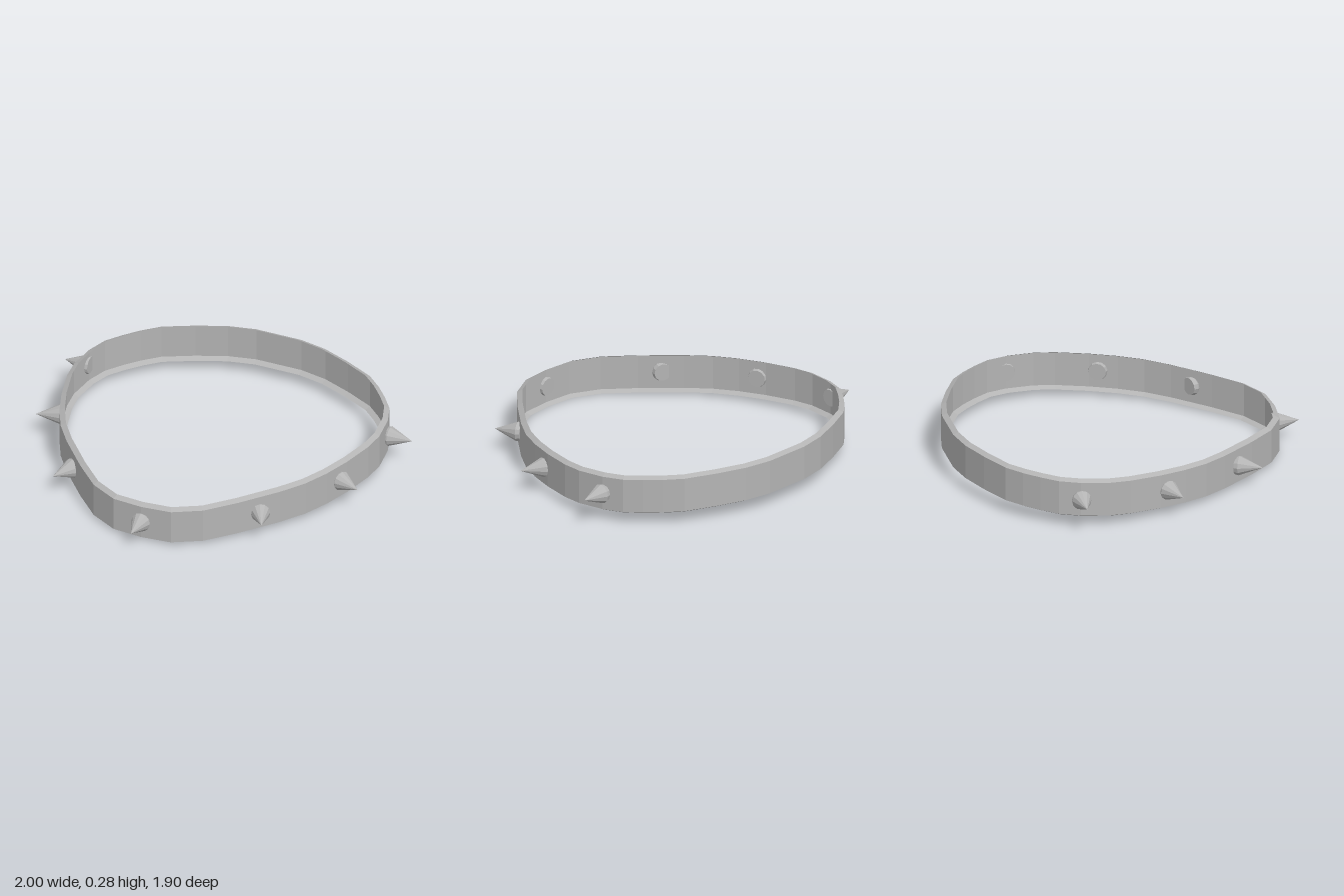
import * as THREE from 'three';

// Right half of the band outline [x, z], from back to front
const HALF = [
  [0.13, -0.948], [0.28, -0.918], [0.44, -0.855], [0.6, -0.777], [0.685, -0.702],
  [0.755, -0.625], [0.82, -0.54], [0.86, -0.43], [0.88, -0.277], [0.868, -0.162],
  [0.823, 0.009], [0.77, 0.153], [0.705, 0.282], [0.615, 0.405], [0.455, 0.587],
  [0.315, 0.726], [0.165, 0.806],
];
const FLANGE = 0.028;
const SPIKE_LENGTH = 0.148;
// The band rises gently towards the back
const lift = (z) => 0.037 * (0.795 - z);

// Thin channel: an outer wall with its top and bottom edges bent inward
function bandGeometry() {
  const mirrored = HALF.map(([x, z]) => [-x, z]).reverse();
  const outline = [...HALF, [0, 0.82], ...mirrored];
  const n = outline.length;
  const positions = [];
  const indices = [];
  outline.forEach(([x, z], i) => {
    // Inset each point along its normal for the flange edges
    const [ax, az] = outline[(i + n - 1) % n];
    const [bx, bz] = outline[(i + 1) % n];
    const len = Math.hypot(bx - ax, bz - az);
    const ix = x - ((bz - az) / len) * FLANGE;
    const iz = z + ((bx - ax) / len) * FLANGE;
    // Cross-section from inner bottom edge to inner top edge, open inside
    positions.push(
      ix, lift(iz), iz,
      x, 0.014 + lift(z), z,
      x, 0.2 + lift(z), z,
      ix, 0.214 + lift(iz), iz,
    );
    const j = (i + 1) % n;
    for (let k = 0; k < 3; k++) {
      const a = i * 4 + k, d = a + 1, b = j * 4 + k, c = b + 1;
      indices.push(a, d, c, a, c, b);
    }
  });
  const indexed = new THREE.BufferGeometry();
  indexed.setAttribute('position', new THREE.Float32BufferAttribute(positions, 3));
  indexed.setIndex(indices);
  const geometry = indexed.toNonIndexed();
  geometry.computeVertexNormals();
  return geometry;
}

export function createModel() {
  const model = new THREE.Group();
  model.name = 'spikedCollar';
  const metal = new THREE.MeshStandardMaterial({
    color: 0xb4b4b4, flatShading: true, side: THREE.DoubleSide,
  });
  metal.name = 'grey';

  const band = new THREE.Mesh(bandGeometry(), metal);
  band.name = 'band';
  model.add(band);

  // Pointed stud, slightly narrower where it passes through the band
  const profile = [[0, 0], [0.047, 0], [0.053, 0.022], [0, SPIKE_LENGTH]];
  const spikeGeometry = new THREE.LatheGeometry(
    profile.map(([r, y]) => new THREE.Vector2(r, y)), 12);

  const up = new THREE.Vector3(0, 1, 0);
  function addSpike(name, tipX, tipZ, dirX, dirZ) {
    const dir = new THREE.Vector3(dirX, 0, dirZ).normalize();
    const spike = new THREE.Mesh(spikeGeometry, metal);
    spike.name = name;
    spike.quaternion.setFromUnitVectors(up, dir);
    spike.position.set(tipX, 0, tipZ).addScaledVector(dir, -SPIKE_LENGTH);
    spike.position.y = 0.107 + lift(spike.position.z);
    model.add(spike);
  }

  addSpike('frontSpike', 0, 0.95, 0, 1);
  for (const [side, s] of [['left', 1], ['right', -1]]) {
    addSpike(side + 'FrontSpike', s * 0.6, 0.612, s * 0.45, 0.89);
    addSpike(side + 'MiddleSpike', s * 0.927, 0.106, s * 0.915, 0.4);
    addSpike(side + 'BackSpike', s, -0.43, s, 0);
  }
  return model;
}
